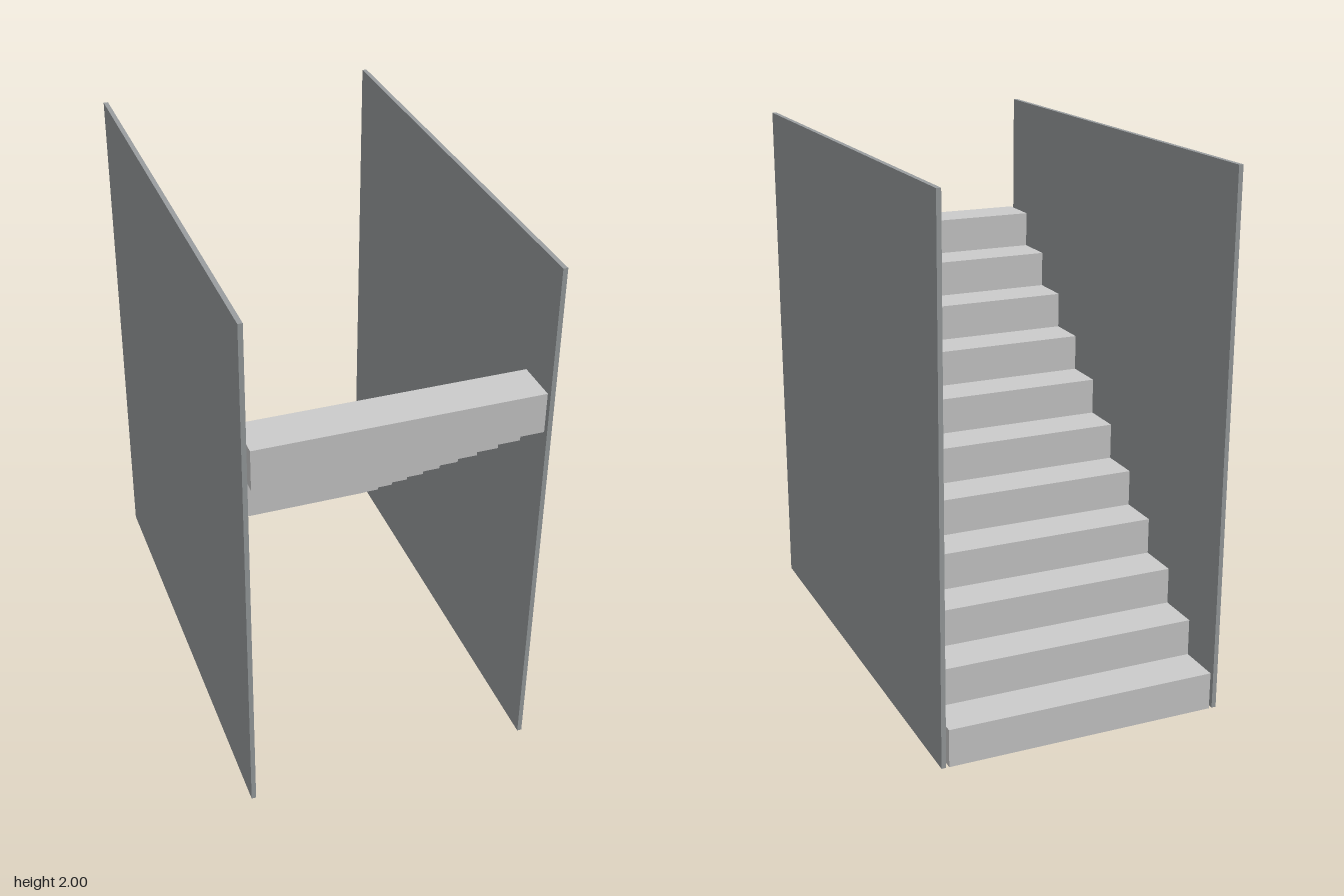
import * as THREE from 'three';

const STEPS = 11;
const DEPTH = 1.8;
const RUN = DEPTH / STEPS;   // depth of one tread
const RISE = 0.1394;         // height from tread to tread
const STEP_HEIGHT = 0.152;   // each block overlaps the one below slightly
const FIRST_TOP = 0.143;

export function createModel() {
  const model = new THREE.Group();
  model.name = 'staircase';

  const stepMaterial = new THREE.MeshStandardMaterial({ color: 0xcccccc });
  const panelMaterial = new THREE.MeshStandardMaterial({ color: 0x9a9ea0 });

  const addBox = (parent, name, size, position, material) => {
    const mesh = new THREE.Mesh(new THREE.BoxGeometry(...size), material);
    mesh.name = name;
    mesh.position.set(...position);
    parent.add(mesh);
  };

  // Steps climb from the back towards the front
  const steps = new THREE.Group();
  steps.name = 'steps';
  model.add(steps);
  for (let i = 0; i < STEPS; i++) {
    const top = FIRST_TOP + i * RISE;
    const bottom = Math.max(0, top - STEP_HEIGHT);
    addBox(steps, `step${i + 1}`, [1.026, top - bottom, RUN],
      [0, (top + bottom) / 2, -DEPTH / 2 + (i + 0.5) * RUN], stepMaterial);
  }

  // Thin full-height panels, standing just clear of the steps
  for (const [name, side] of [['leftPanel', 1], ['rightPanel', -1]]) {
    addBox(model, name, [0.017, 2, DEPTH], [side * 0.533, 1, 0], panelMaterial);
  }

  return model;
}
